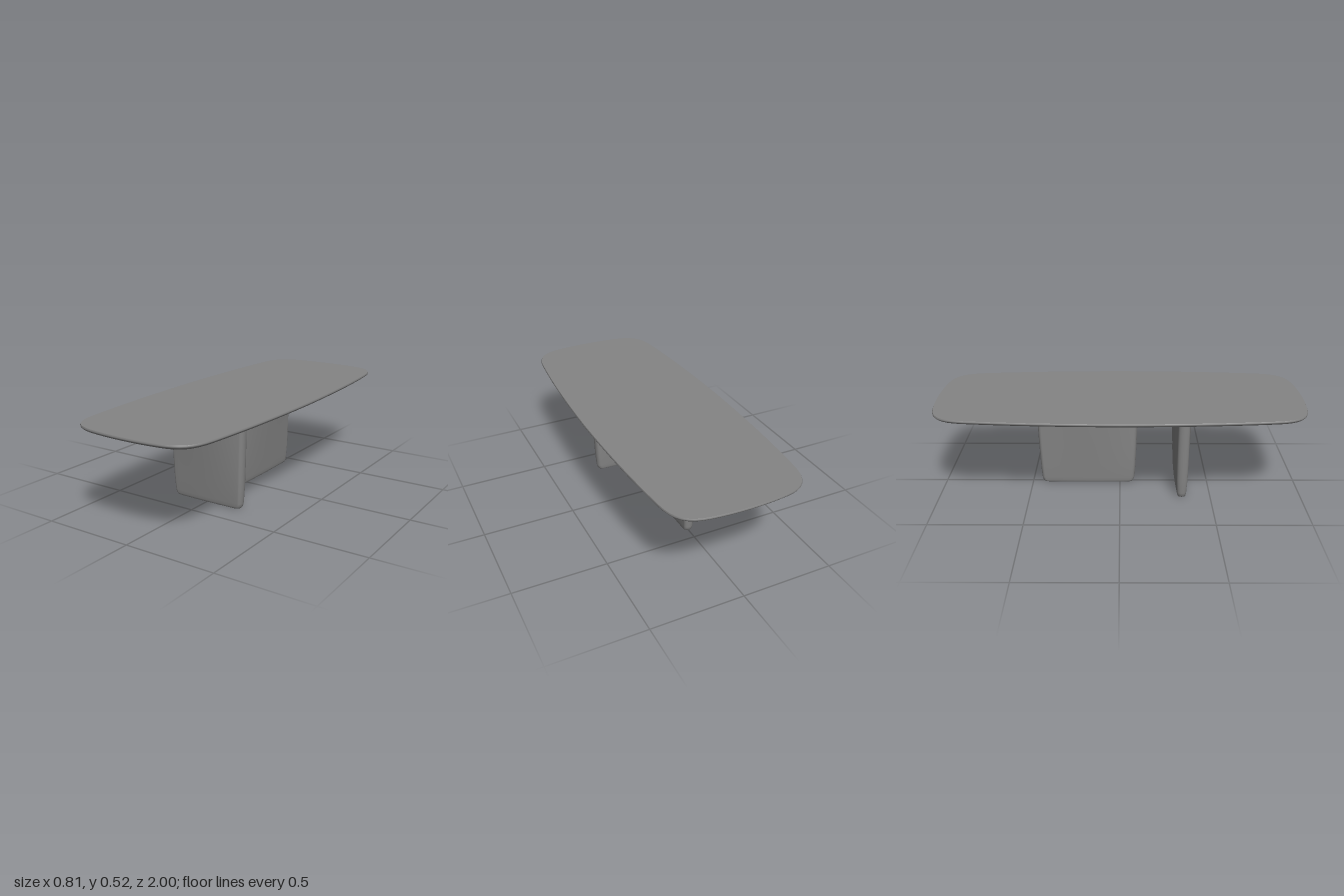
import * as THREE from 'three';

const material = new THREE.MeshStandardMaterial({ color: 0x848484 });

// Skin a stack of closed rings from bottom to top: smooth sides, flat caps with their own corners
function loft(rings) {
  const n = rings[0].length, top = rings.length - 1;
  const pos = [], idx = [];
  const push = r => r.forEach(p => pos.push(p.x, p.y, p.z));
  rings.forEach(push);
  for (let k = 0; k < top; k++) {
    for (let i = 0; i < n; i++) {
      const a = k * n + i, b = k * n + (i + 1) % n;
      idx.push(a, a + n, b, b, a + n, b + n);
    }
  }
  for (const k of [0, top]) {
    const start = pos.length / 3, centre = start + n;
    push(rings[k]);
    pos.push(0, rings[k][0].y, 0);
    for (let i = 0; i < n; i++) {
      const a = start + i, b = start + (i + 1) % n;
      if (k === 0) idx.push(centre, a, b);
      else idx.push(centre, b, a);
    }
  }
  const g = new THREE.BufferGeometry();
  g.setAttribute('position', new THREE.Float32BufferAttribute(pos, 3));
  g.setIndex(idx);
  g.computeVertexNormals();
  return g;
}

// Softly bowed outline of the top: one quarter curve, mirrored twice
function topOutline() {
  const v = (x, z) => new THREE.Vector2(x, z);
  const quarter = [
    ...new THREE.QuadraticBezierCurve(v(0.405, 0), v(0.402, 0.45), v(0.366, 0.8)).getPoints(8),
    ...new THREE.CubicBezierCurve(v(0.366, 0.8), v(0.354, 0.925), v(0.303, 0.973), v(0.2, 0.987)).getPoints(8).slice(1),
    ...new THREE.QuadraticBezierCurve(v(0.2, 0.987), v(0.11, 1), v(0, 1)).getPoints(4).slice(1),
  ];
  const half = [...quarter, ...quarter.slice(0, -1).reverse().map(p => v(-p.x, p.y))];
  return [...half, ...half.slice(1, -1).reverse().map(p => v(p.x, -p.y))];
}

// Thin top with an undercut, rounded rim
function tabletop() {
  const outline = topOutline(), n = outline.length;
  const profile = [[0.034, 0.5], [0.021, 0.5015], [0.01, 0.506], [0.002, 0.513], [0, 0.519], [0.003, 0.525]];
  return loft(profile.map(([inset, y]) => outline.map((p, i) => {
    const t = outline[(i + 1) % n].clone().sub(outline[(i + n - 1) % n]).normalize();
    return new THREE.Vector3(p.x - t.y * inset, y, p.y + t.x * inset);
  })));
}

// Leg cross-section: two bowed faces joined by rounded ends
function legRing(halfWidth, halfDepth, y) {
  const ring = [], end = Math.min(halfDepth * 0.85, 0.031), round = 0.02;
  for (const s of [1, -1]) {
    for (let i = 0; i <= 8; i++) {
      const a = -Math.PI / 2 + Math.PI * i / 8;
      ring.push(new THREE.Vector3(s * (halfWidth - round + round * Math.cos(a)), y, s * end * Math.sin(a)));
    }
    for (let i = 1; i < 16; i++) {
      const u = 1 - i / 8;
      ring.push(new THREE.Vector3(s * u * (halfWidth - round), y, s * (end + (halfDepth - end) * (1 - u * u))));
    }
  }
  return ring;
}

// Slab leg, swelling upward, with softened bottom corners
function leg(topHalfWidth) {
  const profile = [[0.034, 0.022, 0], [0.028, 0.0255, 0.003], [0.021, 0.028, 0.012], [0.0165, 0.03, 0.03],
    [0.0115, 0.035, 0.11], [0.007, 0.0425, 0.23], [0.003, 0.051, 0.37], [0, 0.058, 0.503]];
  return loft(profile.map(([inset, depth, y]) => legRing(topHalfWidth - inset, depth, y)));
}

export function createModel() {
  const group = new THREE.Group();
  const add = (name, geometry) => {
    const mesh = new THREE.Mesh(geometry, material);
    mesh.name = name;
    group.add(mesh);
    return mesh;
  };
  add('tabletop', tabletop());
  // Crosswise leg in front, lengthwise leg behind
  add('frontLeg', leg(0.233)).position.z = 0.342;
  const back = add('backLeg', leg(0.283));
  back.position.z = -0.182;
  back.rotation.y = Math.PI / 2;
  return group;
}
